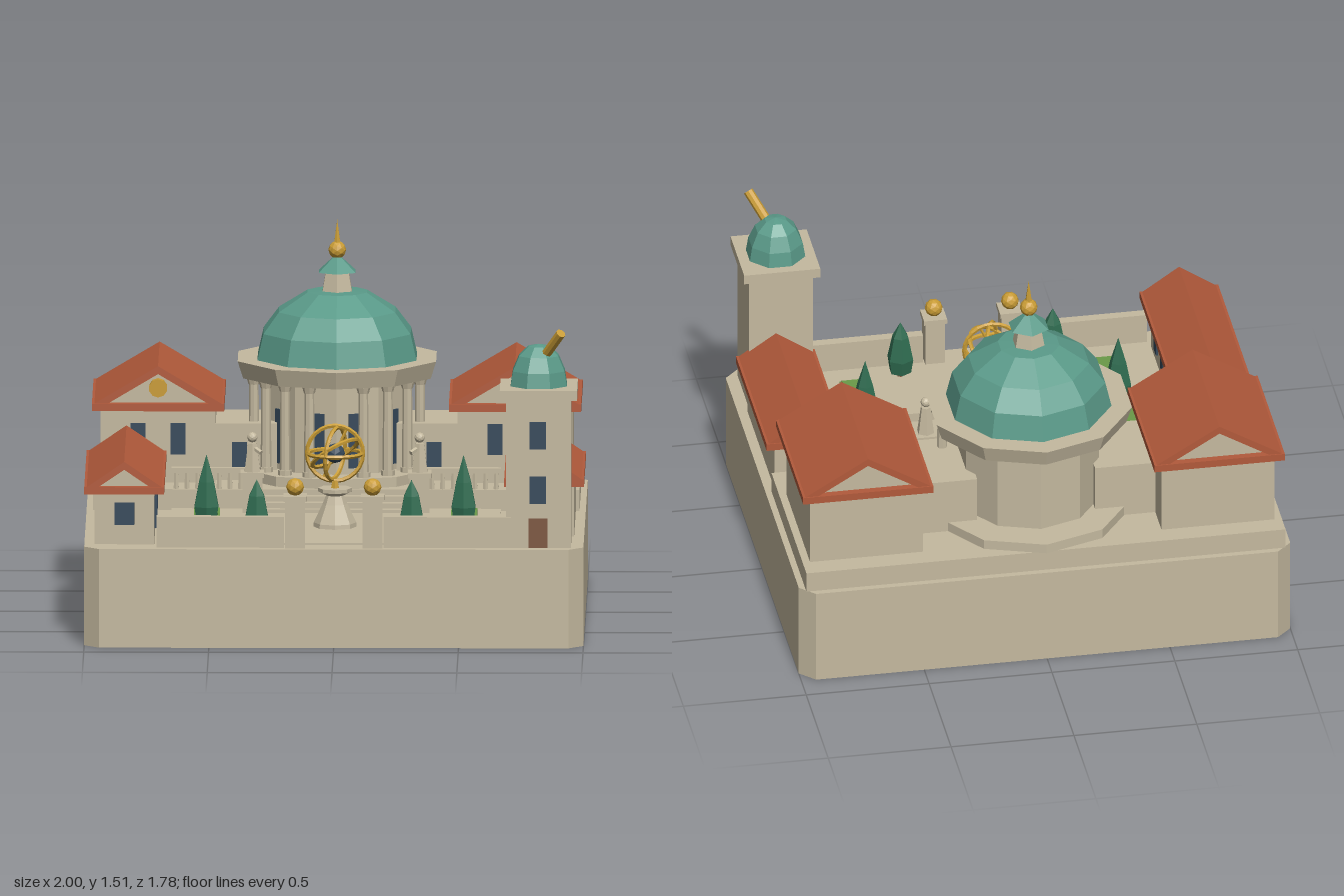
import * as THREE from 'three';

const mat = (name, color) => Object.assign(new THREE.MeshStandardMaterial({ color, flatShading: true }), { name });

export function createModel() {
  const root = new THREE.Group();
  root.name = 'observatoryCourt';
  const stone = mat('stone', 0xc4b99f), tile = mat('roofTile', 0xb25a3b), copper = mat('copper', 0x5a9a89),
    gold = mat('gold', 0xc99c35), glass = mat('darkGlass', 0x35485a), wood = mat('doorWood', 0x7d5640),
    leaf = mat('hedge', 0x6a9a48), pine = mat('cypress', 0x2f6b50);

  const add = (name, geo, m, x = 0, y = 0, z = 0) => {
    const mesh = new THREE.Mesh(geo, m);
    mesh.name = name;
    mesh.position.set(x, y, z);
    root.add(mesh);
    return mesh;
  };
  // box given by its limits
  const box = (name, m, x0, x1, y0, y1, z0, z1) =>
    add(name, new THREE.BoxGeometry(Math.abs(x1 - x0), y1 - y0, z1 - z0), m, (x0 + x1) / 2, (y0 + y1) / 2, (z0 + z1) / 2);
  // frustum given by its bottom and top
  const drum = (name, m, rBottom, rTop, y0, y1, sides, x = 0, z = 0) =>
    add(name, new THREE.CylinderGeometry(rTop, rBottom, y1 - y0, sides), m, x, (y0 + y1) / 2, z);
  const lathe = (name, m, pts, sides, x, z) =>
    add(name, new THREE.LatheGeometry(pts.map(p => new THREE.Vector2(...p)), sides), m, x, 0, z);
  const prism = (name, m, pts, z0, z1, x = 0) =>
    add(name, new THREE.ExtrudeGeometry(new THREE.Shape(pts.map(p => new THREE.Vector2(...p))),
      { depth: z1 - z0, bevelEnabled: false }), m, x, 0, z0);
  const rod = (name, m, a, b, r, sides) => {
    const A = new THREE.Vector3(...a), B = new THREE.Vector3(...b), d = B.clone().sub(A);
    const mesh = add(name, new THREE.CylinderGeometry(r, r, d.length(), sides), m);
    mesh.position.copy(A.add(B).multiplyScalar(0.5));
    mesh.quaternion.setFromUnitVectors(new THREE.Vector3(0, 1, 0), d.normalize());
    return mesh;
  };

  // Plinth with cut corners, and the raised rear terrace
  const X = 1, Z = 0.89, C = 0.06;
  const outline = [[-X, -Z + C], [-X + C, -Z], [X - C, -Z], [X, -Z + C], [X, Z - C], [X - C, Z], [-X + C, Z], [-X, Z - C]];
  prism('plinth', stone, outline, 0, 0.4).rotation.x = -Math.PI / 2;
  box('rearTerrace', stone, -0.975, 0.975, 0.4, 0.485, -0.865, -0.07);
  box('courtFloor', stone, -0.66, 0.66, 0.4, 0.408, -0.07, 0.78);

  // Gabled building: walls, eave slab, stone gable and tiled slopes
  const house = (name, cx, z0, z1, hw, y0, eave, ridge, inset) => {
    box(name + 'Walls', stone, cx - hw + inset, cx + hw - inset, y0, eave, z0 + 0.04, z1 - 0.04);
    box(name + 'Eaves', tile, cx - hw, cx + hw, eave, eave + 0.03, z0, z1);
    const y = eave + 0.03, w = hw - 0.01, t = 0.032, k = t * w / (ridge - y);
    prism(name + 'Gable', stone, [[-w + k * 0.5, y], [w - k * 0.5, y], [0, ridge - t * 0.5]], z0 + 0.03, z1 - 0.03, cx);
    prism(name + 'Roof', tile, [[-w, y], [-w + k, y], [0, ridge - t], [w - k, y], [w, y], [0, ridge]], z0 + 0.005, z1 - 0.005, cx);
  };

  for (const s of [-1, 1]) {
    // Rear pavilions
    house('pavilion', s * 0.715, -0.82, -0.2, 0.265, 0.485, 0.78, 0.962, 0.035);
    for (const x of [0.635, 0.795]) box('pavilionWindow', glass, s * (x - 0.03), s * (x + 0.03), 0.6, 0.725, -0.24, -0.232);
    const disc = drum('pedimentDisc', gold, 0.037, 0.037, 0, 0.035, 10, s * 0.715, -0.215);
    disc.position.y = 0.873;
    disc.rotation.x = Math.PI / 2;

    // Links between rotunda and pavilions
    box('linkWing', stone, s * 0.24, s * 0.5, 0.485, 0.715, -0.64, -0.3);
    box('linkWindow', glass, s * 0.36, s * 0.42, 0.53, 0.64, -0.3, -0.292);

    // Side wings along the court
    const zEnd = s < 0 ? 0.81 : 0.6;
    house('sideWing', s * 0.84, -0.1, zEnd, 0.16, 0.4, 0.608, 0.74, 0.04);
    for (let z = 0.04; z < zEnd - 0.08; z += 0.15)
      box('wingWindow', glass, s * 0.712, s * 0.72, 0.45, 0.57, z - 0.025, z + 0.03);

    // Balustrade on the terrace edge
    box('balustradeRail', stone, s * 0.32, s * 0.66, 0.55, 0.57, -0.11, -0.075);
    for (let i = 0; i < 8; i++) drum('baluster', stone, 0.012, 0.009, 0.485, 0.55, 6, s * (0.34 + i * 0.043), -0.092);

    // Statues beside the steps
    box('statuePedestal', stone, s * 0.295, s * 0.375, 0.4, 0.55, -0.04, 0.04);
    box('statuePedestalCap', stone, s * 0.288, s * 0.382, 0.55, 0.57, -0.047, 0.047);
    drum('statueBody', stone, 0.036, 0.02, 0.57, 0.685, 6, s * 0.335, 0);
    rod('statueArm', stone, [s * 0.335, 0.67, 0], [s * 0.3, 0.65, 0.03], 0.01, 5);
    add('statueHead', new THREE.IcosahedronGeometry(0.021, 1), stone, s * 0.335, 0.708, 0);

    // Front wall and gate posts
    box('frontWall', stone, s * 0.2, s * 0.71, 0.4, 0.525, 0.81, 0.85);
    box('gatePost', stone, s * 0.115, s * 0.195, 0.4, 0.59, 0.785, 0.865);
    box('gatePostCap', stone, s * 0.108, s * 0.202, 0.59, 0.61, 0.778, 0.872);
    add('gateBall', new THREE.IcosahedronGeometry(0.036, 1), gold, s * 0.155, 0.643, 0.825);

    // Garden: hedges, cypresses and benches
    for (const z of [0.172, 0.565]) {
      box('hedge', leaf, s * 0.463, s * 0.567, 0.4, 0.435, z - 0.1, z + 0.1);
      box('hedgeTop', leaf, s * 0.471, s * 0.559, 0.435, 0.443, z - 0.092, z + 0.092);
    }
    for (const [x, z, top] of [[0.515, 0.37, 0.7], [0.31, 0.715, 0.655]]) {
      drum('cypressTrunk', wood, 0.014, 0.014, 0.4, 0.44, 6, s * x, z);
      lathe('cypress', pine, [[0, 0.43], [0.046, 0.43], [0.055, 0.49], [0.034, 0.59], [0, top]], 6, s * x, z);
    }
    box('bench', stone, s * 0.22, s * 0.37, 0.405, 0.445, 0.35, 0.393);
  }
  box('gableWindow', glass, -0.88, -0.8, 0.48, 0.57, 0.77, 0.778);

  // Steps up to the terrace
  for (let i = 0; i < 3; i++) box('step', stone, -0.29, 0.29, 0.4, 0.463 - i * 0.021, -0.08, -0.03 + i * 0.035);

  // Rotunda
  const rz = -0.47;
  drum('rotundaBase', stone, 0.41, 0.41, 0.485, 0.525, 10, 0, rz);
  drum('rotundaDrum', stone, 0.285, 0.285, 0.525, 0.9, 10, 0, rz);
  drum('rotundaCornice', stone, 0.395, 0.418, 0.89, 0.96, 10, 0, rz);
  for (const s of [-1, 1]) {
    for (const deg of [18, 36, 54, 72]) {
      const a = s * THREE.MathUtils.degToRad(deg), x = 0.35 * Math.sin(a), z = rz + 0.35 * Math.cos(a);
      drum('column', stone, 0.022, 0.019, 0.525, 0.89, 8, x, z);
      drum('columnFoot', stone, 0.028, 0.028, 0.525, 0.545, 8, x, z);
      drum('columnHead', stone, 0.022, 0.029, 0.865, 0.89, 8, x, z);
    }
    for (const deg of [18, 54]) {
      const a = s * THREE.MathUtils.degToRad(deg), r = 0.285 * Math.cos(Math.PI / 10) + 0.003;
      const w = add('rotundaWindow', new THREE.BoxGeometry(0.075, 0.22, 0.008), glass, r * Math.sin(a), 0.66, rz + r * Math.cos(a));
      w.rotation.y = a;
    }
  }
  lathe('rotundaDome', copper, [[0.335, 0.96], [0.31, 1.065], [0.245, 1.15], [0.125, 1.225], [0, 1.232]], 10, 0, rz);
  drum('lantern', stone, 0.07, 0.052, 1.215, 1.31, 6, 0, rz);
  drum('lanternRoof', copper, 0.085, 0.016, 1.305, 1.365, 6, 0, rz);
  add('finialBall', new THREE.IcosahedronGeometry(0.036, 1), gold, 0, 1.393, rz);
  drum('finialSpike', gold, 0.016, 0, 1.41, 1.515, 6, 0, rz);

  // Observatory tower with telescope
  box('towerShaft', stone, 0.69, 0.95, 0.4, 1, 0.58, 0.84);
  box('towerCap', stone, 0.665, 0.975, 1, 1.04, 0.55, 0.862);
  for (const y of [0.58, 0.8]) box('towerWindow', glass, 0.785, 0.85, y, y + 0.11, 0.84, 0.848);
  box('towerDoor', wood, 0.78, 0.857, 0.4, 0.52, 0.84, 0.849);
  lathe('towerDome', copper, [[0.122, 1.04], [0.112, 1.1], [0.085, 1.16], [0.045, 1.197], [0, 1.206]], 8, 0.82, 0.703)
    .rotation.y = Math.PI / 8;
  rod('telescope', gold, [0.83, 1.14, 0.725], [0.91, 1.268, 0.823], 0.02, 8);

  // Armillary sphere on a flared pedestal
  const ay = 0.705, az = 0.37;
  lathe('armillaryPedestal', stone, [[0, 0.4], [0.088, 0.4], [0.085, 0.425], [0.05, 0.5], [0.036, 0.535],
    [0.068, 0.55], [0.068, 0.565], [0, 0.565]], 8, 0, az);
  drum('armillaryStem', gold, 0.018, 0.012, 0.565, 0.595, 6, 0, az);
  add('armillaryGlobe', new THREE.IcosahedronGeometry(0.04, 1), glass, 0, ay, az);
  for (const [r, rx, ry] of [[0.112, 0, 0], [0.108, Math.PI / 2, 0], [0.106, 0.25, 1.2], [0.104, 1.15, 0.5]])
    add('armillaryRing', new THREE.TorusGeometry(r, 0.009, 5, 24), gold, 0, ay, az).rotation.set(rx, ry, 0);
  rod('armillaryAxis', gold, [-0.045, ay - 0.095, az], [0.045, ay + 0.095, az], 0.006, 6);

  return root;
}
